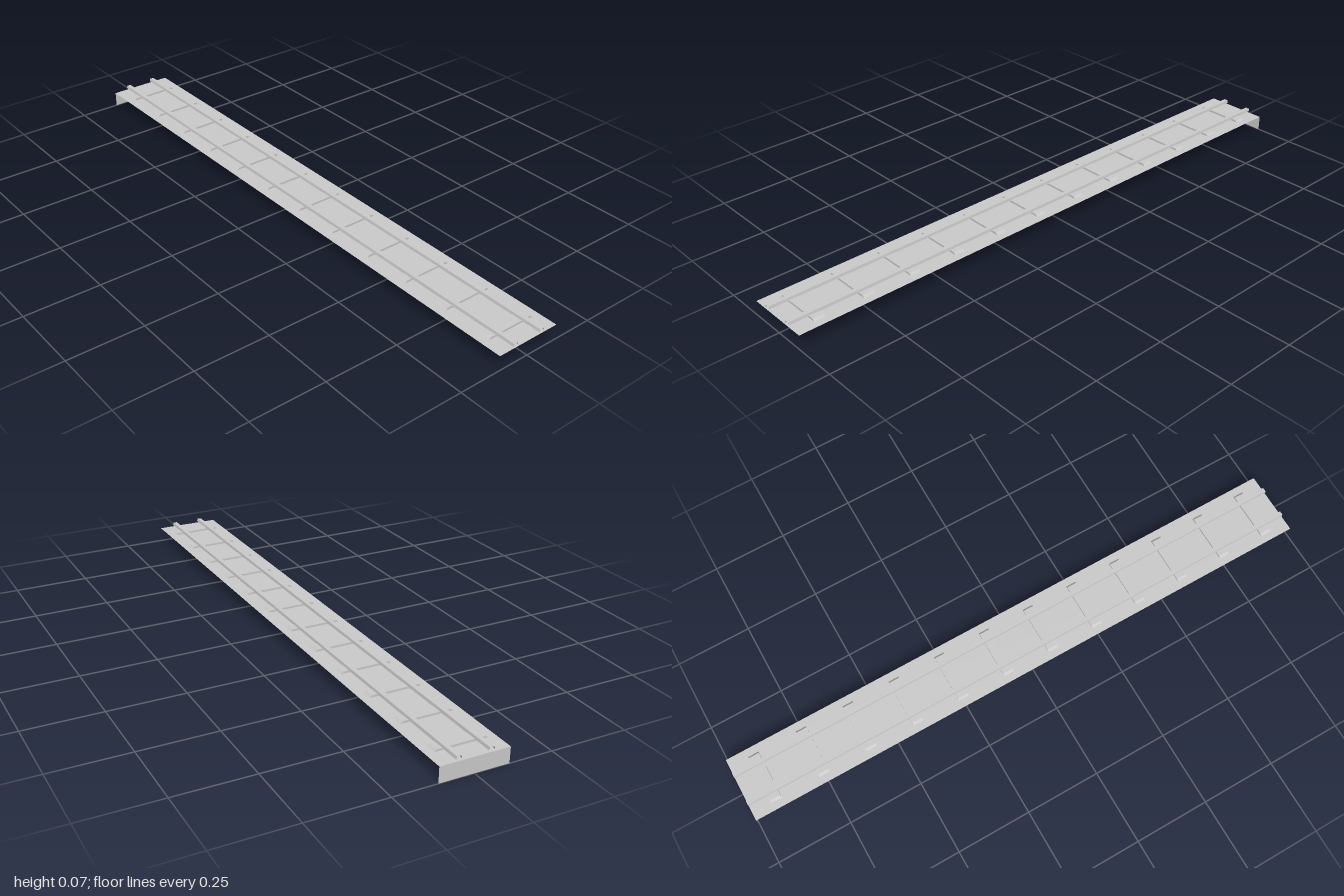
import * as THREE from 'three';

const material = new THREE.MeshStandardMaterial({
  color: 0xcccccc, flatShading: true, side: THREE.DoubleSide,
});

const LENGTH = 2;
const WIDTH = 0.222;
const BED_Y = 0.051;
const SLEEPER_TOP = 0.058;
const SLEEPER_DEPTH = 0.036;
const SLEEPER_COUNT = 12;

function addMesh(parent, name, geometry) {
  const mesh = new THREE.Mesh(geometry, material);
  mesh.name = name;
  parent.add(mesh);
  return mesh;
}

// Open sheet running along z, its columns following a cross-section of [x, y]
function profileSheet(points, length) {
  const geometry = new THREE.PlaneGeometry(1, 1, points.length - 1, 1);
  const position = geometry.attributes.position;
  for (let i = 0; i < position.count; i++) {
    const [x, y] = points[i % points.length];
    position.setXYZ(i, x, y, i < points.length ? -length / 2 : length / 2);
  }
  geometry.computeVertexNormals();
  return geometry;
}

export function createModel() {
  const group = new THREE.Group();
  group.name = 'railTrack';

  // Thin track bed with an upright plate closing the back end
  const bed = addMesh(group, 'trackBed', new THREE.PlaneGeometry(WIDTH, LENGTH).rotateX(-Math.PI / 2));
  bed.position.y = BED_Y;
  const plate = addMesh(group, 'endPlate', new THREE.PlaneGeometry(WIDTH, BED_Y).rotateY(Math.PI));
  plate.position.set(0, BED_Y / 2, -LENGTH / 2);

  // Sleepers with bevelled ends
  const outline = new THREE.Shape([
    new THREE.Vector2(-0.085, BED_Y),
    new THREE.Vector2(0.085, BED_Y),
    new THREE.Vector2(0.078, SLEEPER_TOP),
    new THREE.Vector2(-0.078, SLEEPER_TOP),
  ]);
  const sleeper = new THREE.ExtrudeGeometry(outline, { depth: SLEEPER_DEPTH, bevelEnabled: false });
  sleeper.translate(0, 0, -SLEEPER_DEPTH / 2);
  const spacing = LENGTH / SLEEPER_COUNT;
  for (let i = 0; i < SLEEPER_COUNT; i++) {
    addMesh(group, 'sleeper', sleeper).position.z = -LENGTH / 2 + spacing * (i + 0.5);
  }

  // Pair of open-ended rails resting on the sleepers
  const rail = profileSheet([
    [-0.009, SLEEPER_TOP - 0.001], [-0.007, 0.066], [0.007, 0.066], [0.009, SLEEPER_TOP - 0.001],
  ], LENGTH);
  for (const side of [-1, 1]) {
    addMesh(group, side > 0 ? 'leftRail' : 'rightRail', rail).position.x = side * 0.051;
  }

  return group;
}
